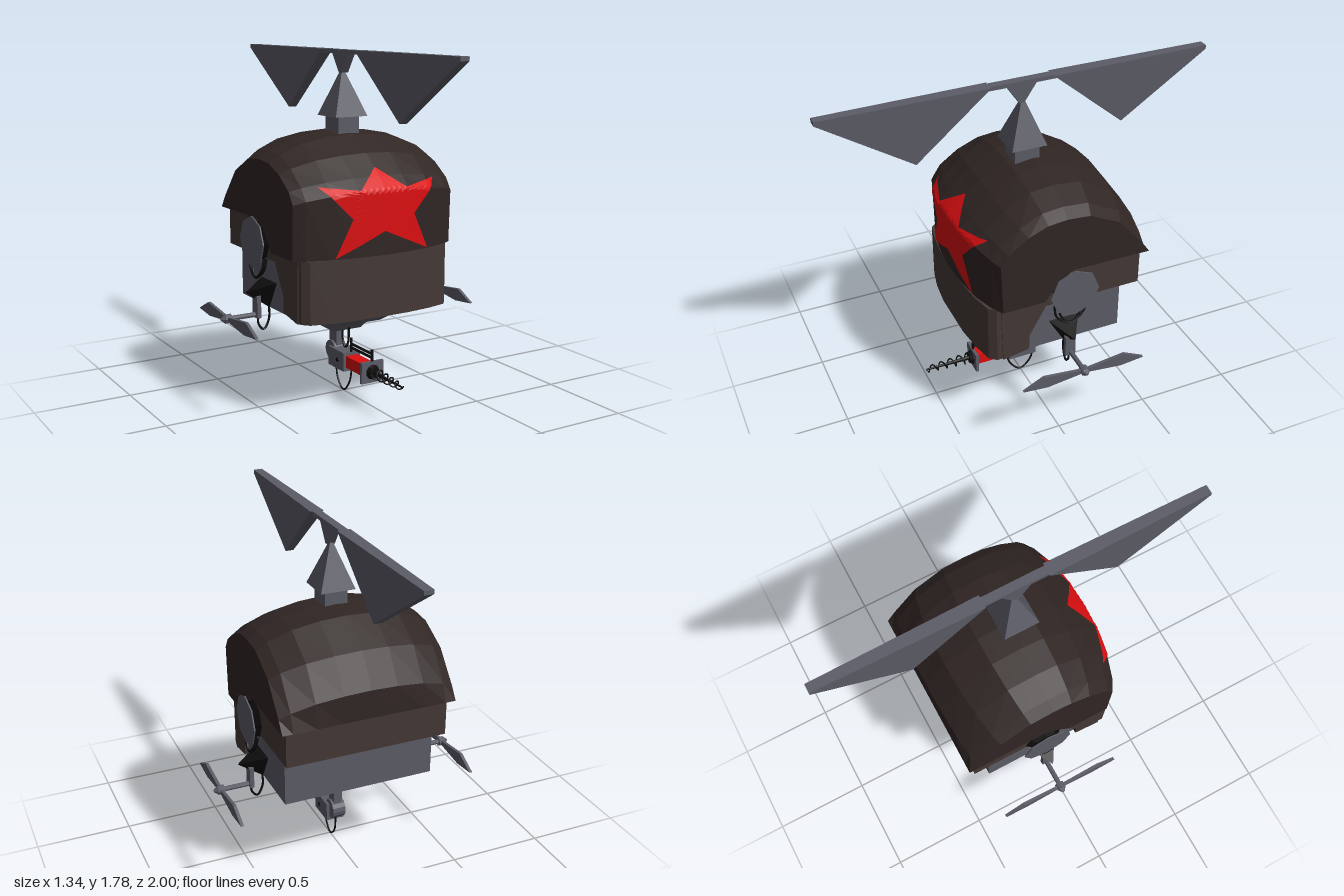
import * as THREE from 'three';

const mat = (name, color, side = THREE.FrontSide) =>
  new THREE.MeshStandardMaterial({ name, color, side, flatShading: true });

// dome profiles as [z, y], along the centre line and along the side edge
const CENTRE = [[0.39, 0.81], [0.39, 1.13], [0.33, 1.19], [0.22, 1.29], [0.08, 1.37], [-0.04, 1.385], [-0.2, 1.37], [-0.38, 1.26], [-0.49, 1.1], [-0.495, 0.955]];
const EDGE = [[0.29, 0.81], [0.3, 1.08], [0.26, 1.14], [0.16, 1.21], [0.06, 1.25], [-0.04, 1.26], [-0.16, 1.25], [-0.32, 1.17], [-0.45, 1.02], [-0.495, 0.955]];
const COLUMNS = [[0, 0], [0.14, 0.07], [0.28, 0.28], [0.4, 0.68], [0.455, 1]]; // [x, blend to edge]

function blendAt(x) {
  const a = Math.abs(x);
  for (let i = 1; i < COLUMNS.length; i++) {
    const [x0, w0] = COLUMNS[i - 1], [x1, w1] = COLUMNS[i];
    if (a <= x1) return w0 + ((w1 - w0) * (a - x0)) / (x1 - x0);
  }
  return 1;
}
const profileAt = (x) => CENTRE.map(([z, y], i) => {
  const w = blendAt(x);
  return [z + (EDGE[i][0] - z) * w, y + (EDGE[i][1] - y) * w];
});
// z of the dome's front at a given x, y
function frontZ(x, y) {
  const p = profileAt(x);
  for (let i = 1; i < 5; i++) {
    if (y <= p[i][1]) return p[i - 1][0] + ((p[i][0] - p[i - 1][0]) * (y - p[i - 1][1])) / (p[i][1] - p[i - 1][1]);
  }
  return p[4][0];
}

// grid of points from rows of equal length
function gridGeometry(rows) {
  const n = rows[0].length, index = [];
  for (let r = 0; r < rows.length - 1; r++) {
    for (let c = 0; c < n - 1; c++) {
      const a = r * n + c;
      index.push(a, a + n, a + 1, a + 1, a + n, a + n + 1);
    }
  }
  const g = new THREE.BufferGeometry();
  g.setAttribute('position', new THREE.Float32BufferAttribute(rows.flat(2), 3));
  g.setIndex(index);
  g.computeVertexNormals();
  return g;
}

// solid with a [z, y] outline, spanning x0..x1
function slab(points, x0, x1) {
  const shape = new THREE.Shape(points.map(([z, y]) => new THREE.Vector2(z, y)));
  return new THREE.ExtrudeGeometry(shape, { depth: x1 - x0, bevelEnabled: false })
    .rotateY(-Math.PI / 2).translate(x1, 0, 0);
}

const box = (x0, x1, y0, y1, z0, z1) => new THREE.BoxGeometry(x1 - x0, y1 - y0, z1 - z0)
  .translate((x0 + x1) / 2, (y0 + y1) / 2, (z0 + z1) / 2);

const cable = (pts, r = 0.006, seg = 24) => new THREE.TubeGeometry(
  new THREE.CatmullRomCurve3(pts.map((p) => new THREE.Vector3(...p))), seg, r, 5);

// cylinder lying along x between x0 and x1
const axle = (r0, r1, x0, x1, y, z, sides) => new THREE.CylinderGeometry(r1, r0, x1 - x0, sides)
  .rotateZ(-Math.PI / 2).translate((x0 + x1) / 2, y, z);

export function createModel() {
  const model = new THREE.Group();
  const domeMat = mat('dark brown', 0x302624, THREE.DoubleSide);
  const flapMat = mat('brown', 0x443936, THREE.DoubleSide);
  const grey = mat('steel grey', 0x5c5c67, THREE.DoubleSide);
  const red = mat('red', 0xdc0e10, THREE.DoubleSide);
  const black = mat('black', 0x0d0d0e, THREE.DoubleSide);
  const add = (name, geometry, material, parent = model) => {
    const m = new THREE.Mesh(geometry, material);
    m.name = name;
    parent.add(m);
    return m;
  };

  // helmet dome: blended profiles across x, closed by flat sides
  const xs = [...COLUMNS.slice(1).reverse().map(([x]) => -x), ...COLUMNS.map(([x]) => x)];
  add('dome', gridGeometry(xs.map((x) => profileAt(x).map(([z, y]) => [x, y, z]))), domeMat);
  const sideOutline = [...EDGE, [-0.08, 0.96], [0.0, 0.9], [0.07, 0.81]];
  for (const s of [-1, 1]) add('domeSide', slab(sideOutline, s * 0.44 - 0.0145, s * 0.44 + 0.0145), domeMat);

  // brown cheek and neck flaps with a bowed front plate
  add('flaps', slab([[0.29, 0.82], [0.28, 0.495], [0.14, 0.52], [0.14, 0.6], [0.05, 0.76], [-0.46, 0.76], [-0.46, 0.965], [-0.06, 0.965], [0.06, 0.82]], -0.425, 0.425), flapMat);
  const chin = new THREE.Shape();
  chin.moveTo(-0.42, -0.27);
  for (const [x, z] of [[-0.42, 0.31], [-0.39, 0.345], [-0.28, 0.37], [-0.14, 0.385], [0.14, 0.385], [0.28, 0.37], [0.39, 0.345], [0.42, 0.31], [0.42, 0.27], [-0.42, 0.27]]) chin.lineTo(x, -z);
  add('chinPlate', new THREE.ExtrudeGeometry(chin, { depth: 0.31, bevelEnabled: false })
    .rotateX(-Math.PI / 2).translate(0, 0.5, 0), flapMat);

  // star wrapped over the dome front
  const tips = [[0, 1.23], [0.13, 1.135], [0.33, 1.16], [0.175, 1.0], [0.265, 0.815], [0, 0.93]];
  const outline = [...tips, ...tips.slice(1, 5).reverse().map(([x, y]) => [-x, y])];
  const starPos = [], N = 8;
  outline.forEach(([ax, ay], i) => {
    const [bx, by] = outline[(i + 1) % outline.length];
    const at = (u, v) => {
      const x = (ax * u + bx * v) / N, y = 1.04 + ((ay - 1.04) * u + (by - 1.04) * v) / N;
      return [x, y, frontZ(x, y) + 0.007];
    };
    for (let u = 0; u < N; u++) {
      for (let v = 0; u + v < N; v++) {
        starPos.push(...at(u, v), ...at(u, v + 1), ...at(u + 1, v));
        if (u + v < N - 1) starPos.push(...at(u + 1, v), ...at(u, v + 1), ...at(u + 1, v + 1));
      }
    }
  });
  const star = new THREE.BufferGeometry();
  star.setAttribute('position', new THREE.Float32BufferAttribute(starPos, 3));
  star.computeVertexNormals();
  add('star', star, red);

  // grey head block and stepped underside: [y, half x, front z, back z]
  add('headBlock', box(-0.4, 0.4, 0.5, 0.77, -0.37, 0.2), grey);
  const tiers = [[0.5, 0.4, 0.27, -0.37], [0.49, 0.31, 0.24, -0.3], [0.44, 0.2, 0.18, -0.24], [0.395, 0.15, 0.12, -0.17], [0.38, 0.1, 0.07, -0.12], [0.345, 0.08, 0.04, -0.1], [0.345, 0, -0.03, -0.03]];
  add('underside', gridGeometry(tiers.map(([y, x, f, b]) => [[-x, y, f], [x, y, f], [x, y, b], [-x, y, b], [-x, y, f]])), grey);

  // top rotor
  const rotor = new THREE.Group();
  rotor.name = 'topRotor';
  model.add(rotor);
  const cone = (r0, r1, y0, y1) => new THREE.CylinderGeometry(r1 * Math.SQRT2, r0 * Math.SQRT2, y1 - y0, 4)
    .rotateY(Math.PI / 4).translate(0, (y0 + y1) / 2, -0.01);
  add('rotorBase', box(-0.06, 0.06, 1.34, 1.46, -0.075, 0.055), grey, rotor);
  add('rotorPyramid', cone(0.092, 0.006, 1.455, 1.685), grey, rotor);
  add('rotorCap', slab([[0.08, 1.77], [-0.08, 1.77], [-0.012, 1.67], [0.012, 1.67]], -0.02, 0.02), grey, rotor);
  add('rotorBar', box(-0.022, 0.022, 1.765, 1.785, -0.18, 0.18), grey, rotor);
  for (const s of [-1, 1]) {
    const blade = slab([[s * 0.16, 1.785], [s, 1.785], [s, 1.765], [s * 0.54, 1.46]], -0.034, 0.034);
    const p = blade.attributes.position;
    for (let i = 0; i < p.count; i++) { // thinner towards the lower corner and tip
      const thin = Math.abs(p.getZ(i)) > 0.9 ? 0.7 : p.getY(i) < 1.6 ? 0.65 : 1;
      p.setX(i, p.getX(i) * thin);
    }
    add('rotorBlade', blade, grey, rotor);
  }

  // ear cups, side arms and side propellers, built on +x and mirrored
  for (const s of [1, -1]) {
    const side = new THREE.Group();
    side.name = s > 0 ? 'leftSide' : 'rightSide';
    side.scale.x = s;
    model.add(side);
    const disc = (r0, r1, x0, x1) => axle(r0, r1, x0, x1, 0.845, -0.075, 8);
    add('earCupBack', disc(0.1, 0.07, 0.44, 0.465), black, side);
    add('earCupFlare', disc(0.06, 0.12, 0.46, 0.483), black, side);
    add('earCupDisc', disc(0.13, 0.13, 0.483, 0.49), grey, side);
    add('earSpike', new THREE.ConeGeometry(0.095, 0.135, 3).rotateY(Math.PI / 2).rotateZ(-Math.PI / 2)
      .translate(0.4675, 0.592, -0.06), black, side);
    for (const w of [0.06, 0.085]) {
      add('earCable', cable([[0.455, 0.77, -0.065 + w], [0.465, 0.71, -0.065 + w * 0.9], [0.475, 0.66, -0.065], [0.465, 0.71, -0.065 - w * 0.9], [0.455, 0.77, -0.065 - w]]), black, side);
    }
    add('armPost', box(0.46, 0.482, 0.455, 0.57, -0.09, -0.035), grey, side);
    add('armAxle', axle(0.013, 0.013, 0.47, 0.625, 0.47, -0.065, 8), grey, side);
    add('propellerHub', axle(0.024, 0.024, 0.615, 0.648, 0.47, -0.065, 8), grey, side);
    add('propellerNose', axle(0.022, 0.006, 0.648, 0.668, 0.47, -0.065, 8), grey, side);
    for (const d of [1, -1]) {
      const z = (v) => -0.065 + d * v;
      add('propellerBlade', slab([[z(0.01), 0.48], [z(0.01), 0.46], [z(0.2), 0.437], [z(0.33), 0.45], [z(0.22), 0.505]], 0.624, 0.64), grey, side);
    }
    add('armCable', cable([[0.405, 0.52, -0.06], [0.405, 0.44, -0.06], [0.435, 0.388, -0.06], [0.465, 0.42, -0.06], [0.462, 0.48, -0.06]]), black, side);
  }

  // swivelling tool under the head
  const tool = new THREE.Group();
  tool.name = 'tool';
  model.add(tool);
  add('toolNeck', box(-0.022, 0.022, 0.2, 0.36, -0.105, -0.035), grey, tool);
  add('toolJoint', axle(0.052, 0.052, -0.035, 0.035, 0.21, -0.075, 14), grey, tool);
  add('toolBlock', box(-0.05, 0.05, 0.135, 0.235, -0.07, 0.085), grey, tool);
  add('toolPin', axle(0.012, 0.012, -0.055, 0.055, 0.185, 0.025, 8), black, tool);
  add('redBarrel', box(-0.035, 0.035, 0.155, 0.218, 0.08, 0.275), red, tool);
  add('frontPlate', box(-0.065, 0.065, 0.13, 0.24, 0.272, 0.288), grey, tool);
  add('drillCollar', new THREE.CylinderGeometry(0.03, 0.04, 0.02, 10).rotateX(Math.PI / 2)
    .translate(0, 0.185, 0.296), black, tool);
  add('drillRod', new THREE.CylinderGeometry(0.005, 0.012, 0.27, 6).rotateX(Math.PI / 2)
    .translate(0, 0.185, 0.415), black, tool);
  const coil = [];
  for (let i = 0; i <= 40; i++) {
    const a = (i / 40) * Math.PI * 10, r = 0.03 - 0.015 * (i / 40);
    coil.push([Math.cos(a) * r, 0.185 + Math.sin(a) * r, 0.29 + 0.255 * (i / 40)]);
  }
  add('drillCoil', cable(coil, 0.004, 120), black, tool);
  for (const y of [0.258, 0.278]) add('sightRail', box(-0.006, 0.006, y - 0.004, y + 0.004, 0.08, 0.285), black, tool);
  for (const [z, y] of [[0.08, 0.31], [0.28, 0.3]]) add('sightPost', box(-0.006, 0.006, 0.2, y, z - 0.004, z + 0.004), black, tool);
  add('lowerCable', cable([[0, 0.145, 0.085], [0, 0.07, 0.065], [0, 0.006, 0.0], [0, 0.06, -0.06], [0, 0.16, -0.075]], 0.005), black, tool);
  add('upperCable', cable([[0, 0.36, 0.055], [0, 0.28, 0.05], [0, 0.245, 0.02], [0, 0.28, -0.005], [0, 0.35, -0.005]], 0.006), black, tool);

  return model;
}
